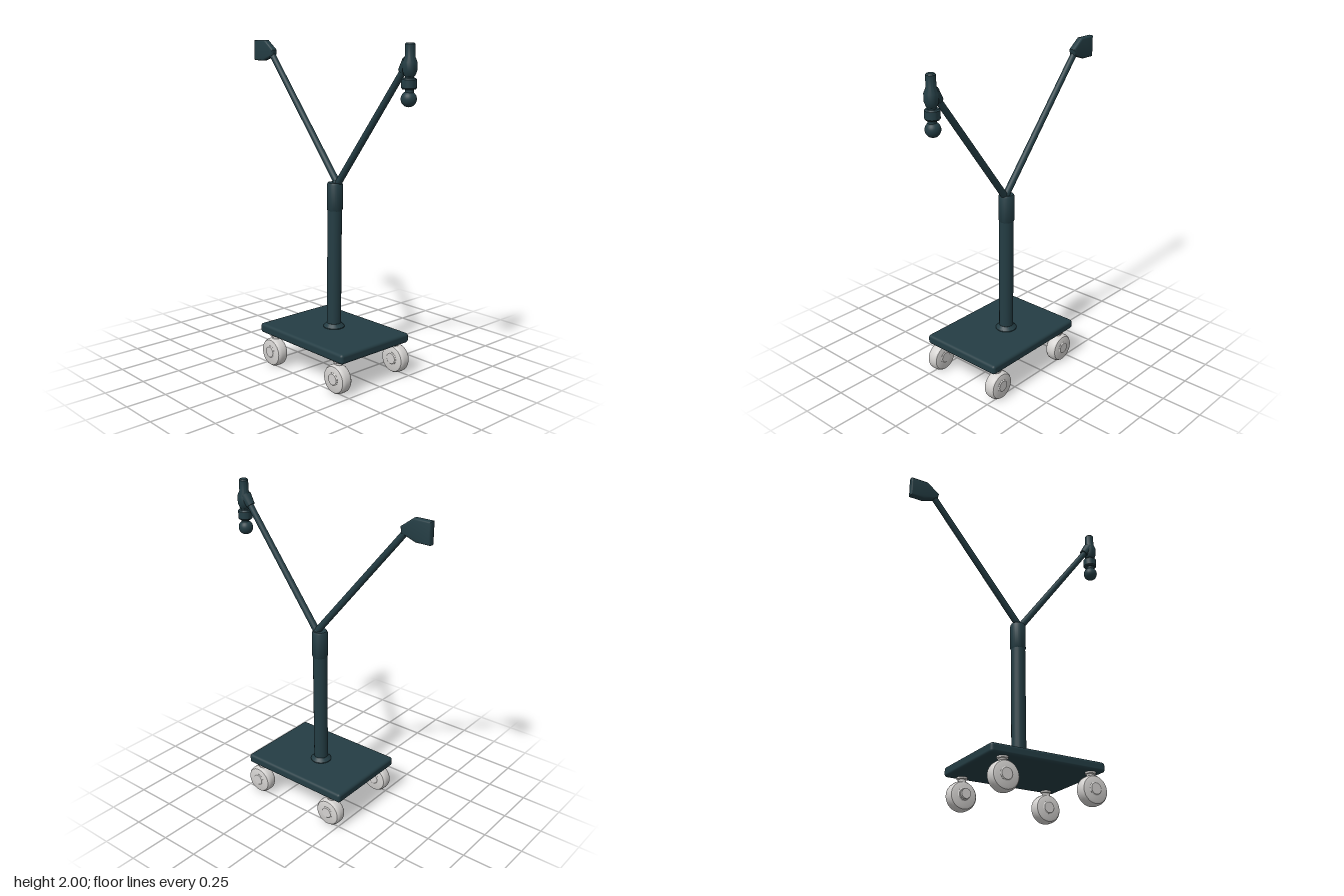
import * as THREE from 'three';
import { RoundedBoxGeometry } from 'three/addons/geometries/RoundedBoxGeometry.js';
import { toCreasedNormals } from 'three/addons/utils/BufferGeometryUtils.js';

export function createModel() {
  const root = new THREE.Group();
  root.name = 'wheeledStand';
  const teal = new THREE.MeshStandardMaterial({ color: 0x243d44 });
  teal.name = 'dark teal';
  const grey = new THREE.MeshStandardMaterial({ color: 0xd4d2d0 });
  grey.name = 'light grey';

  const add = (name, geo, mat, x = 0, y = 0, z = 0, parent = root) => {
    const m = new THREE.Mesh(geo, mat);
    m.name = name;
    m.position.set(x, y, z);
    parent.add(m);
    return m;
  };
  // Turned part from [radius, height] pairs, bottom to top
  const lathe = (pts, seg = 28) =>
    toCreasedNormals(new THREE.LatheGeometry(pts.map(p => new THREE.Vector2(...p)), seg), 0.6);
  // Straight rod between two points
  const rod = (name, a, b, r0, r1 = r0) => {
    const A = new THREE.Vector3(...a), B = new THREE.Vector3(...b);
    const d = B.clone().sub(A);
    const m = add(name, new THREE.CylinderGeometry(r1, r0, d.length(), 20), teal);
    m.position.copy(A).add(B).multiplyScalar(0.5);
    m.quaternion.setFromUnitVectors(new THREE.Vector3(0, 1, 0), d.normalize());
    return m;
  };

  // Base plate with softly rounded vertical corners and edges
  add('basePlate', new RoundedBoxGeometry(0.56, 0.06, 0.75, 3, 0.018), teal, 0, 0.23, 0.095);

  // Column, flared foot and upper sleeve, leaning very slightly
  add('columnFoot', lathe([[0, 0], [0.065, 0], [0.065, 0.008], [0.045, 0.03], [0, 0.03]]), teal, 0.022, 0.257, 0.075);
  rod('column', [0.022, 0.26, 0.075], [0.026, 1.0, 0.075], 0.044);
  add('columnSleeve', lathe([[0, 0], [0.044, 0], [0.048, 0.008], [0.048, 0.16], [0.042, 0.172], [0, 0.172]]), teal, 0.027, 0.995, 0.075);

  // Two arms forming a V
  rod('frontArm', [0.032, 1.15, 0.087], [0.032, 1.88, 0.635], 0.021, 0.019);
  rod('rearArm', [0.034, 1.15, 0.1], [0.04, 1.91, -0.53], 0.021, 0.019);
  add('armJoint', new THREE.SphereGeometry(0.026, 20, 14), teal, 0.032, 1.162, 0.085);

  // Rear paddle: a bevelled plate lying in the y-z plane
  const outline = [[0.51, 1.9], [0.595, 1.87], [0.69, 1.87], [0.69, 1.995], [0.578, 1.995], [0.505, 1.925]];
  const centre = [0.6, 1.933], inset = 0.008;
  const shape = new THREE.Shape(outline.map(([u, v]) => new THREE.Vector2(
    u + Math.sign(centre[0] - u) * inset, v + Math.sign(centre[1] - v) * inset)));
  const paddleGeo = new THREE.ExtrudeGeometry(shape, {
    depth: 0.022, bevelEnabled: true, bevelThickness: 0.01, bevelSize: 0.01, bevelSegments: 3,
  });
  paddleGeo.translate(0, 0, -0.011);
  paddleGeo.rotateY(Math.PI / 2);
  add('paddle', toCreasedNormals(paddleGeo, 0.6), teal, 0.04, 0, 0);

  // Front head: nozzle, body, ring and hanging ball
  const head = new THREE.Group();
  head.name = 'head';
  head.position.set(0.032, 0, 0.655);
  root.add(head);
  add('headBody', lathe([[0, 1.72], [0.024, 1.73], [0.024, 1.82], [0.03, 1.825], [0.04, 1.85], [0.041, 1.895],
    [0.028, 1.928], [0.028, 1.992], [0.022, 2.0], [0, 2.0]]), teal, 0, 0, 0.003, head);
  add('headRing', lathe([[0, 1.752], [0.036, 1.752], [0.043, 1.76], [0.043, 1.805], [0.036, 1.813], [0, 1.813]]), teal, 0, 0, 0, head);
  add('headBall', new THREE.SphereGeometry(0.044, 28, 20), teal, 0, 1.7, 0, head);
  rod('headSocket', [0.032, 1.845, 0.605], [0.032, 1.9, 0.648], 0.026, 0.036);

  // Casters: rounded wheel with a hub on each side and a swivel stem
  const wheelGeo = lathe([[0, -0.038], [0.066, -0.038], [0.079, -0.034], [0.086, -0.024], [0.088, -0.012],
    [0.088, 0.012], [0.086, 0.024], [0.079, 0.034], [0.066, 0.038], [0, 0.038]], 36);
  const hubGeo = lathe([[0, -0.044], [0.033, -0.044], [0.039, -0.039], [0.039, 0.039], [0.033, 0.044], [0, 0.044]]);
  const stemGeo = lathe([[0, 0.15], [0.024, 0.15], [0.024, 0.186], [0.032, 0.19], [0.032, 0.202], [0, 0.202]]);
  for (const side of [-1, 1]) {
    for (const z of [0.395, -0.183]) {
      const caster = new THREE.Group();
      caster.name = (z > 0 ? 'front' : 'rear') + (side > 0 ? 'Left' : 'Right') + 'Caster';
      caster.position.set(side * 0.242, 0, z);
      root.add(caster);
      add('wheel', wheelGeo, grey, 0, 0.09, 0, caster).rotation.z = Math.PI / 2;
      add('hub', hubGeo, grey, 0, 0.095, 0, caster).rotation.z = Math.PI / 2;
      add('stem', stemGeo, grey, -side * 0.008, 0, 0, caster);
      // Axle cap standing out on one rear wheel
      if (side > 0 && z < 0)
        add('axleCap', new THREE.CylinderGeometry(0.03, 0.026, 0.03, 24), grey, -0.052, 0.095, 0, caster).rotation.z = Math.PI / 2;
    }
  }
  return root;
}
